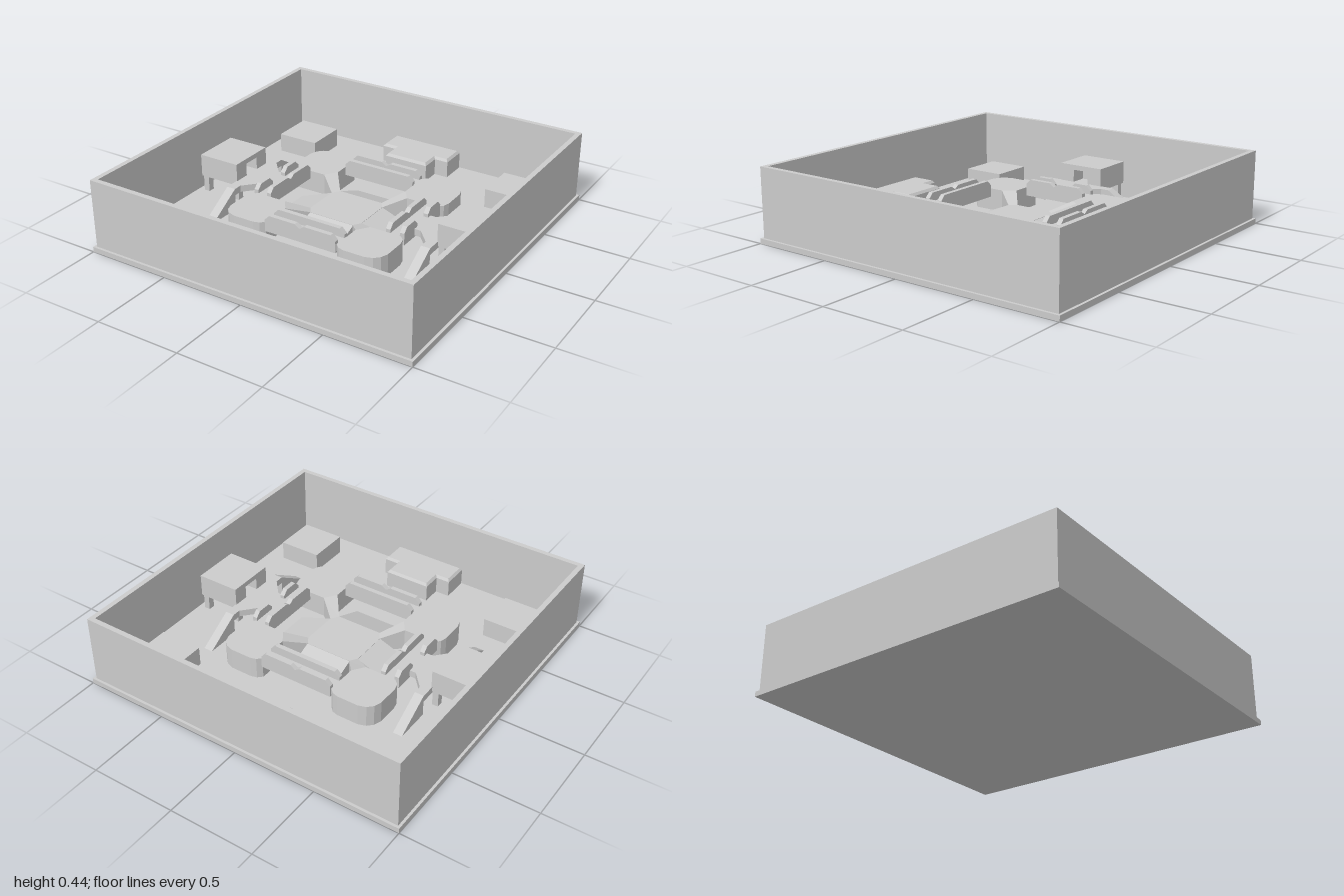
import * as THREE from 'three';

const mat = new THREE.MeshStandardMaterial({ color: 0xcccccc, flatShading: true, side: THREE.DoubleSide });
const FLOOR = 0.03, DECK = 0.16, HUB = 0.11;

function add(parent, name, geo) {
  const m = new THREE.Mesh(geo, mat);
  m.name = name;
  parent.add(m);
  return m;
}

function box(parent, name, x0, x1, y0, y1, z0, z1) {
  const m = add(parent, name, new THREE.BoxGeometry(Math.abs(x1 - x0), y1 - y0, Math.abs(z1 - z0)));
  m.position.set((x0 + x1) / 2, (y0 + y1) / 2, (z0 + z1) / 2);
  return m;
}

// Prism over a plan of [x, z] points; top is a height or a rule (x, z) => y
function prism(plan, bottom, top) {
  let p = plan.map(([x, z]) => new THREE.Vector2(x, z));
  if (THREE.ShapeUtils.area(p) < 0) p = p.reverse();
  const high = (v) => (typeof top === 'function' ? top(v.x, v.y) : top);
  const pos = [];
  const put = (v, y) => pos.push(v.x, y, v.y);
  for (const [a, b, c] of THREE.ShapeUtils.triangulateShape(p, [])) {
    for (const i of [a, c, b]) put(p[i], high(p[i]));
    for (const i of [a, b, c]) put(p[i], bottom);
  }
  p.forEach((a, i) => {
    const b = p[(i + 1) % p.length];
    put(a, bottom); put(a, high(a)); put(b, high(b));
    put(a, bottom); put(b, high(b)); put(b, bottom);
  });
  const g = new THREE.BufferGeometry();
  g.setAttribute('position', new THREE.Float32BufferAttribute(pos, 3));
  g.computeVertexNormals();
  return g;
}

// Guard rail with sloped ends and an optional notch in the middle
function railGeometry(half, notch) {
  const lo = DECK - 0.05, hi = DECK + 0.05;
  const pts = [[-half, lo], [half, lo], [half, hi - 0.03], [half - 0.03, hi]];
  if (notch) pts.push([0.03, hi], [0, hi - 0.02], [-0.03, hi]);
  pts.push([-half + 0.03, hi], [-half, hi - 0.03]);
  const s = new THREE.Shape(pts.map(([x, y]) => new THREE.Vector2(x, y)));
  return new THREE.ExtrudeGeometry(s, { depth: 0.028, bevelEnabled: false }).translate(0, 0, -0.014);
}

export function createModel() {
  const arena = new THREE.Group();
  arena.name = 'arena';

  // Base and outer walls
  box(arena, 'base', -1, 1, 0, FLOOR, -1, 1);
  for (const s of [-1, 1]) {
    box(arena, 'sideWall', s * 0.955, s * 0.985, FLOOR, 0.435, -0.985, 0.985);
    box(arena, 'endWall', -0.955, 0.955, FLOOR, 0.435, s * 0.955, s * 0.985);
  }

  // Sunken hub platform
  const hub = [[0.17, 0.11], [0.14, 0.155], [-0.14, 0.155], [-0.17, 0.11],
    [-0.17, -0.11], [-0.14, -0.155], [0.14, -0.155], [0.17, -0.11]];
  add(arena, 'hub', prism(hub, FLOOR, HUB));

  // Corner platforms, sloping arms to the hub and corner crates
  const lobe = [[0.23, 0.365], [0.23, 0.455], [0.255, 0.48], [0.29, 0.49], [0.42, 0.49], [0.465, 0.475],
    [0.495, 0.445], [0.51, 0.4], [0.51, 0.27], [0.5, 0.23], [0.47, 0.2], [0.28, 0.2], [0.23, 0.27]];
  const arm = [[0.28, 0.2], [0.23, 0.27], [0.14, 0.155], [0.17, 0.11]];
  const armTop = (x) => (Math.abs(x) > 0.2 ? DECK : HUB);
  for (const sx of [-1, 1]) {
    for (const sz of [-1, 1]) {
      const flip = (plan) => plan.map(([x, z]) => [x * sx, z * sz]);
      add(arena, 'cornerPlatform', prism(flip(lobe), FLOOR, DECK));
      add(arena, 'hubArm', prism(flip(arm), FLOOR, armTop));
      box(arena, 'cornerCrate', sx * 0.59, sx * 0.85, FLOOR, 0.145, sz * 0.565, sz * 0.82);
    }
  }

  // Front and back: ramp, bridge with rails, stepped block
  const block = [[-0.225, 0.95], [-0.225, 0.79], [-0.14, 0.79], [-0.14, 0.675],
    [0.14, 0.675], [0.14, 0.79], [0.225, 0.79], [0.225, 0.95]];
  for (const s of [-1, 1]) {
    const ramp = [[-0.143, s * 0.15], [0.143, s * 0.15], [0.143, s * 0.35], [-0.143, s * 0.35]];
    add(arena, 'hubRamp', prism(ramp, FLOOR - 0.01, (x, z) => (Math.abs(z) > 0.25 ? FLOOR : HUB)));
    box(arena, 'bridge', -0.23, 0.23, DECK - 0.04, DECK, s * 0.365, s * 0.455);
    for (const z of [0.365, 0.453]) {
      add(arena, 'bridgeRail', railGeometry(0.228, z > 0.4)).position.z = s * z;
    }
    const shape = new THREE.Shape(block.map(([x, z]) => new THREE.Vector2(x, -s * z)));
    const geo = new THREE.ExtrudeGeometry(shape, {
      depth: 0.1, bevelSize: 0.012, bevelOffset: -0.012, bevelThickness: 0.015, bevelSegments: 1,
    });
    geo.rotateX(-Math.PI / 2);
    add(arena, 'steppedBlock', geo).position.y = FLOOR;
  }

  // Sides: ramp, bridge with rails, walkway and raised hut
  for (const s of [-1, 1]) {
    const ramp = [[s * 0.165, -0.113], [s * 0.165, 0.113], [s * 0.38, 0.113], [s * 0.38, -0.113]];
    add(arena, 'hubRamp', prism(ramp, FLOOR - 0.01, (x) => (Math.abs(x) > 0.25 ? FLOOR : HUB)));
    box(arena, 'bridge', s * 0.39, s * 0.48, DECK - 0.04, DECK, -0.2, 0.2);
    const inner = add(arena, 'bridgeRail', railGeometry(0.2, true));
    inner.rotation.y = Math.PI / 2;
    inner.position.x = s * 0.392;

    const deck = [[0.665, -0.23], [0.61, -0.23], [0.61, -0.18], [0.53, -0.09], [0.48, -0.09],
      [0.48, 0.09], [0.53, 0.09], [0.61, 0.18], [0.61, 0.23], [0.665, 0.23]];
    add(arena, 'walkway', prism(deck.map(([x, z]) => [s * x, z]), DECK - 0.04, DECK));

    for (const t of [-1, 1]) {
      const outer = add(arena, 'bridgeRail', railGeometry(0.07, false));
      outer.rotation.y = Math.PI / 2;
      outer.position.set(s * 0.478, 0, t * 0.13);
      const end = [[s * 0.61, t * 0.23], [s * 0.665, t * 0.23], [s * 0.665, t * 0.44], [s * 0.61, t * 0.44]];
      add(arena, 'walkwayRamp', prism(end, FLOOR - 0.01, (x, z) => (Math.abs(z) > 0.3 ? FLOOR : DECK)));
      for (const x of [0.68, 0.9]) {
        box(arena, 'hutLeg', s * (x - 0.018), s * (x + 0.018), FLOOR, 0.13, t * 0.09, t * 0.13);
      }
    }

    // Hut walls around a doorway that opens on the walkway
    const walls = [[0.66, -0.143], [0.92, -0.143], [0.92, 0.143], [0.66, 0.143],
      [0.66, 0.05], [0.76, 0.05], [0.76, -0.05], [0.66, -0.05]];
    box(arena, 'hutFloor', s * 0.66, s * 0.92, 0.13, DECK, -0.143, 0.143);
    add(arena, 'hutWalls', prism(walls.map(([x, z]) => [s * x, z]), DECK, 0.235));
    box(arena, 'hutRoof', s * 0.66, s * 0.92, 0.235, 0.265, -0.143, 0.143);
  }
  return arena;
}
